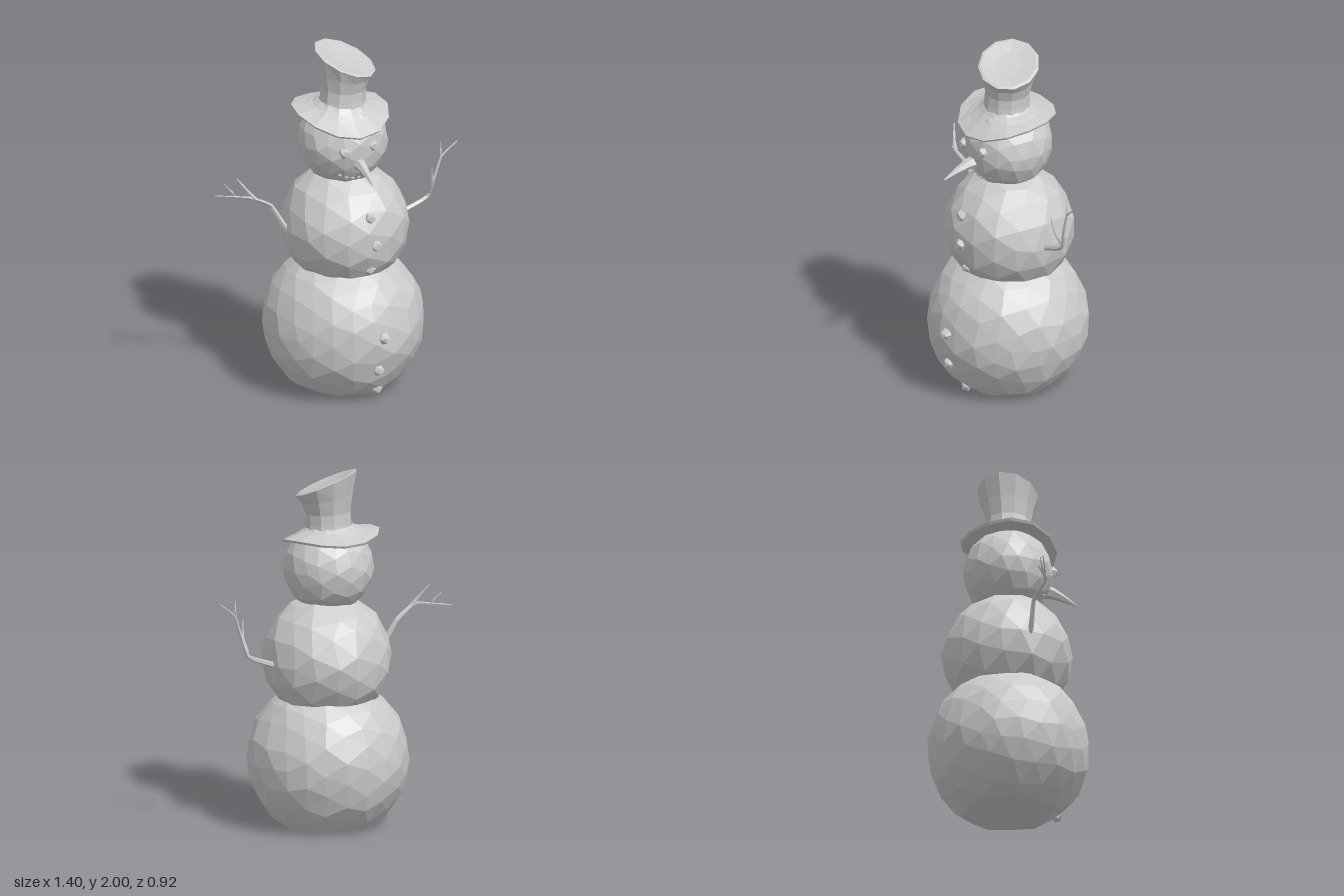
import * as THREE from 'three';

const material = new THREE.MeshStandardMaterial({ color: 0xcccccc, flatShading: true });

// Repeatable noise in -1..1, the same for coincident vertices
function noise(x, y, z, seed) {
  const n = Math.sin(Math.round(x * 100) * 12.99 + Math.round(y * 100) * 78.23 +
    Math.round(z * 100) * 37.72 + seed * 4.17) * 437.58;
  return (n - Math.floor(n)) * 2 - 1;
}

function reshape(geometry, rule) {
  const pos = geometry.attributes.position;
  const v = new THREE.Vector3();
  for (let i = 0; i < pos.count; i++) {
    v.fromBufferAttribute(pos, i);
    rule(v, i);
    pos.setXYZ(i, v.x, v.y, v.z);
  }
  geometry.computeVertexNormals();
  return geometry;
}

function add(parent, name, geometry) {
  const mesh = new THREE.Mesh(geometry, material);
  mesh.name = name;
  parent.add(mesh);
  return mesh;
}

// Lumpy faceted ball; anything below the ground is pressed flat
function lump(parent, name, center, radius, detail, rough, seed) {
  const geometry = reshape(new THREE.IcosahedronGeometry(1, detail), (v) => {
    const { x, y, z } = v;
    const slide = rough * 2.5;
    v.x += slide * noise(x, y, z, seed);
    v.y += slide * noise(x, y, z, seed + 1);
    v.z += slide * noise(x, y, z, seed + 2);
    v.setLength(radius * (1.01 + rough * noise(x, y, z, seed + 3)));
    v.y = Math.max(v.y, -center[1]);
  });
  add(parent, name, geometry).position.set(...center);
}

// Tube along a path that narrows from radius r0 to r1
function taper(parent, name, points, r0, r1, sides = 5) {
  const path = new THREE.CatmullRomCurve3(points.map((p) => new THREE.Vector3(...p)), false, 'catmullrom', 0.2);
  const steps = (points.length - 1) * 3;
  const geometry = reshape(new THREE.TubeGeometry(path, steps, r0, sides), (v, i) => {
    const t = Math.floor(i / (sides + 1)) / steps;
    const c = path.getPointAt(t);
    v.sub(c).multiplyScalar(1 + (r1 / r0 - 1) * t).add(c);
  });
  add(parent, name, geometry);
}

const profile = (list) => list.map(([r, y]) => new THREE.Vector2(r, y));

function createHat() {
  const hat = new THREE.Group();
  hat.name = 'hat';

  // Brim: dips at the front, curls up at the sides
  const brim = new THREE.LatheGeometry(profile([
    [0.1, -0.02], [0.2, -0.022], [0.265, -0.012], [0.272, 0.004], [0.2, 0], [0.155, 0.004], [0.12, 0.02],
  ]), 13);
  reshape(brim, (v) => {
    const r = Math.hypot(v.x, v.z);
    const a = Math.atan2(v.x, v.z);
    const k = Math.max(0, (r - 0.125) / 0.145);
    const rim = 1.612 - 0.035 * Math.cos(a) - 0.028 * Math.cos(2 * a) - 0.012 * Math.sin(a);
    v.y += 1.67 + (rim - 1.67) * k;
    v.z -= 0.013;
  });
  add(hat, 'hatBrim', brim);

  // Crown: flares upward, its top slopes to the front left
  const crown = new THREE.LatheGeometry(profile([
    [0.135, 1.65], [0.128, 1.7], [0.125, 1.76], [0.142, 1.84], [0.17, 1.925], [0.155, 1.93], [0.08, 1.918], [0, 1.915],
  ]), 11);
  reshape(crown, (v) => {
    const t = THREE.MathUtils.clamp((v.y - 1.66) / 0.265, 0, 1);
    v.y += t * t * (-0.33 * v.x - 0.29 * v.z);
    v.x += 0.008 + 0.017 * t;
    v.z -= 0.008;
  });
  add(hat, 'hatCrown', crown);
  return hat;
}

function createArms() {
  const arms = new THREE.Group();
  arms.name = 'arms';
  taper(arms, 'rightArm', [[-0.28, 0.9, -0.02], [-0.34, 0.99, -0.025], [-0.41, 1.11, -0.04],
    [-0.53, 1.18, -0.02], [-0.6, 1.18, -0.07], [-0.7, 1.175, -0.145]], 0.018, 0.003);
  taper(arms, 'rightTwig', [[-0.51, 1.17, -0.02], [-0.55, 1.22, -0.035], [-0.6, 1.29, -0.07]], 0.011, 0.003);
  taper(arms, 'rightSmallTwig', [[-0.6, 1.18, -0.07], [-0.655, 1.25, -0.11]], 0.007, 0.002);
  taper(arms, 'leftArm', [[0.3, 0.92, -0.02], [0.38, 0.943, -0.02], [0.525, 1.0, -0.02],
    [0.565, 1.12, -0.005], [0.605, 1.24, 0], [0.7, 1.315, 0]], 0.018, 0.003);
  taper(arms, 'leftTwig', [[0.535, 1.03, -0.015], [0.535, 1.1, 0.03], [0.523, 1.2, 0.05]], 0.011, 0.003);
  taper(arms, 'leftSmallTwig', [[0.602, 1.23, 0], [0.6, 1.33, 0]], 0.008, 0.002);
  return arms;
}

export function createModel() {
  const model = new THREE.Group();
  model.name = 'snowman';

  // Three stacked snowballs
  lump(model, 'bottomBall', [0.015, 0.375, -0.01], 0.445, 3, 0.015, 1);
  lump(model, 'middleBall', [0.025, 0.945, -0.012], 0.356, 2, 0.018, 9);
  lump(model, 'head', [0.012, 1.45, -0.01], 0.248, 2, 0.018, 17);

  // Pebbles for eyes and buttons
  [[-0.08, 1.46, 0.215], [0.095, 1.475, 0.21]]
    .forEach((p, i) => lump(model, 'eye', p, 0.033, 0, 0.06, 30 + i));
  [[0.035, 1.09, 0.31], [0.06, 0.93, 0.335], [0.045, 0.77, 0.28],
    [0.065, 0.41, 0.435], [0.04, 0.215, 0.4], [0.075, 0.065, 0.305]]
    .forEach((p, i) => lump(model, 'button', p, 0.034, 0, 0.06, 40 + i));

  // Smile of small pebbles
  for (let i = 0; i < 6; i++) {
    const u = (i - 2.5) / 2.5;
    lump(model, 'mouthPebble', [0.008 + 0.09 * u, 1.285 + 0.025 * u * u, 0.17 - 0.01 * u * u], 0.013, 0, 0.05, 60 + i);
  }

  // Drooping carrot nose
  taper(model, 'nose', [[0.01, 1.38, 0.17], [0.01, 1.382, 0.24], [0.01, 1.36, 0.32], [0.008, 1.325, 0.408]], 0.046, 0.004, 6);

  model.add(createArms(), createHat());
  return model;
}
